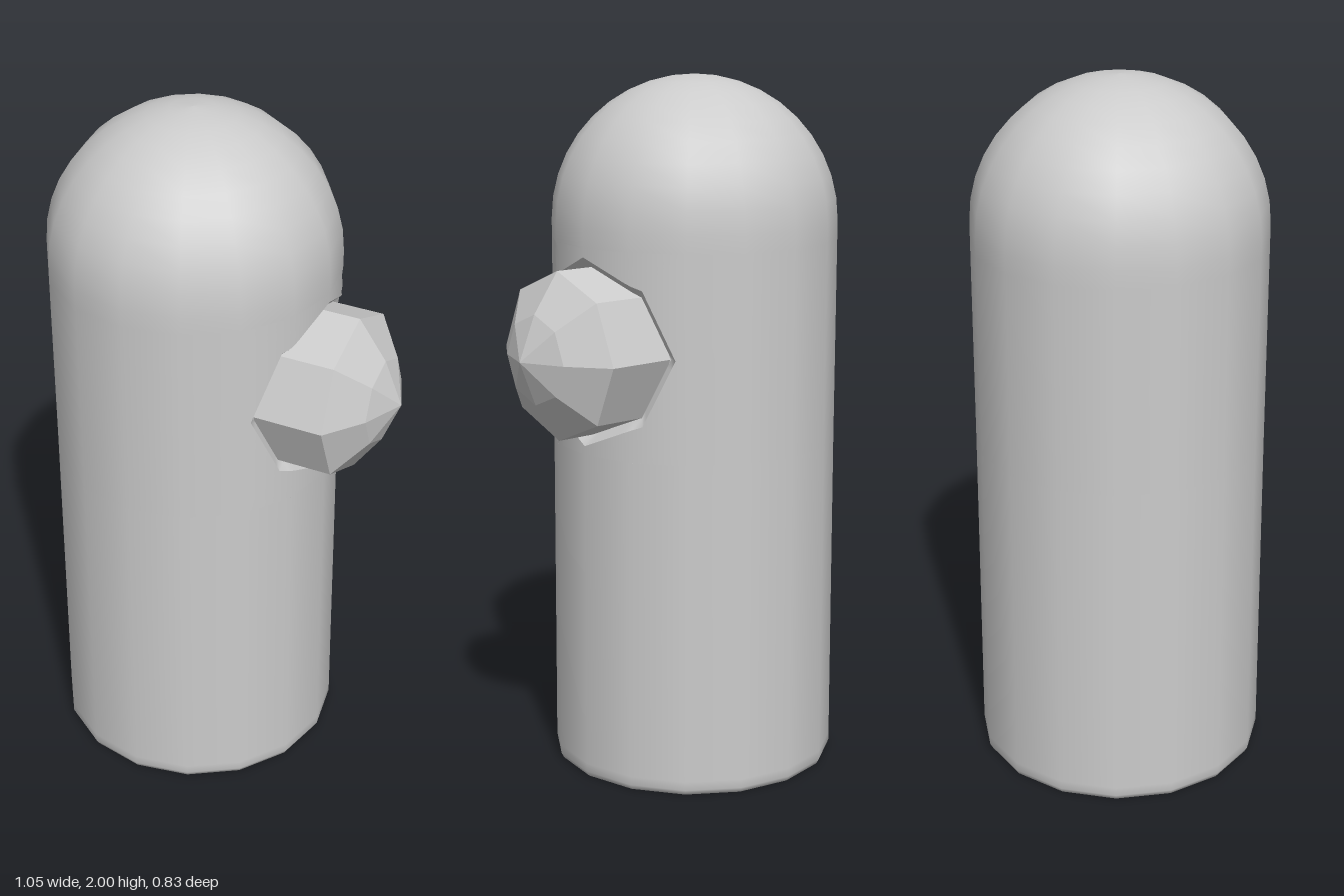
import * as THREE from 'three';

const R = 0.41;            // body radius
const SIDES = 16;
const GEM_Y = 1.25;        // height of the gem axis
const HALF = R * Math.SQRT1_2; // half size of the square wall panel around the socket

const material = new THREE.MeshStandardMaterial({ color: 0xcccccc, side: THREE.DoubleSide });
const flatMaterial = new THREE.MeshStandardMaterial({ color: 0xcccccc, side: THREE.DoubleSide, flatShading: true });

// Outward position of the 16-sided wall at sideways offset z
function wallX(z) {
  const step = (2 * Math.PI) / SIDES;
  const k = Math.abs(z) < R * Math.sin(step) ? 0 : 1;
  const z0 = R * Math.sin(k * step), z1 = R * Math.sin((k + 1) * step);
  const t = (Math.abs(z) - z0) / (z1 - z0);
  return THREE.MathUtils.lerp(R * Math.cos(k * step), R * Math.cos((k + 1) * step), t);
}

// Radius of an upright octagon and of a square in direction a
function octagon(a, r) {
  const q = Math.PI / 4;
  const m = ((a % q) + q) % q;
  return (r * Math.cos(q / 2)) / Math.cos(m - q / 2);
}
const square = (a) => HALF / Math.max(Math.abs(Math.cos(a)), Math.abs(Math.sin(a)));

// Strips between closed rings laid on the wall; radius(a, t) and depth(t), t = 0 outside to 1 inside
function wallRings(count, radius, depth) {
  const n = 64, pos = [], index = [];
  for (let i = 0; i <= count; i++) {
    const t = i / count;
    for (let j = 0; j < n; j++) {
      const a = (j / n) * Math.PI * 2, r = radius(a, t);
      const z = -r * Math.cos(a);
      pos.push(wallX(z) - depth(t), GEM_Y + r * Math.sin(a), z);
      if (i === count) continue;
      const k = (j + 1) % n, o = i * n, p = o + n;
      index.push(o + j, o + k, p + k, o + j, p + k, p + j);
    }
  }
  const g = new THREE.BufferGeometry();
  g.setAttribute('position', new THREE.Float32BufferAttribute(pos, 3));
  g.setIndex(index);
  g.computeVertexNormals();
  return g;
}

function lathe(points, segments = SIDES, start = 0, length = Math.PI * 2) {
  return new THREE.LatheGeometry(points.map(([r, y]) => new THREE.Vector2(r, y)), segments, start, length);
}

export function createModel() {
  const group = new THREE.Group();
  const add = (name, geometry, mat = material) => {
    const mesh = new THREE.Mesh(geometry, mat);
    mesh.name = name;
    group.add(mesh);
    return mesh;
  };
  const low = GEM_Y - HALF, high = GEM_Y + HALF;

  // Hollow lower wall with a small curled rim, open underneath
  add('lowerWall', lathe([[0.395, 0.004], [0.405, 0], [0.413, 0.015], [0.413, 0.04], [R, low]]));

  // Middle wall, leaving out the quarter that holds the socket
  add('middleWall', lathe([[R, low], [R, high]], 12, Math.PI * 0.75, Math.PI * 1.5));

  // Wall panel with an octagonal hole, shaded as part of the round wall
  const panel = wallRings(6, (a, t) => THREE.MathUtils.lerp(square(a), octagon(a, 0.265), t), () => 0);
  const p = panel.attributes.position, normal = new THREE.Vector3();
  for (let i = 0; i < p.count; i++) {
    normal.set(p.getX(i), 0, p.getZ(i)).normalize();
    panel.attributes.normal.setXYZ(i, normal.x, 0, normal.z);
  }
  add('socketPanel', panel);

  // Sloped lip sinking in towards the gem
  add('socketLip', wallRings(1, (a, t) => octagon(a, 0.265 - 0.029 * t), (t) => 0.03 * t));

  // Upper wall and round dome
  const dome = [[R, high]];
  for (let i = 0; i <= 10; i++) {
    const a = (i / 10) * Math.PI / 2;
    dome.push([i === 10 ? 0 : R * Math.cos(a), 1.59 + R * Math.sin(a)]);
  }
  add('dome', lathe(dome));

  // Eight-sided faceted gem pointing to the left
  const gem = add('gem', lathe([[0, 0.26], [0.16, 0.27], [0.236, 0.3], [0.236, 0.5], [0.125, 0.58], [0, 0.632]], 8), flatMaterial);
  gem.rotation.z = -Math.PI / 2;
  gem.position.y = GEM_Y;

  group.position.x = -0.11;
  const model = new THREE.Group();
  group.name = 'body';
  model.add(group);
  return model;
}
